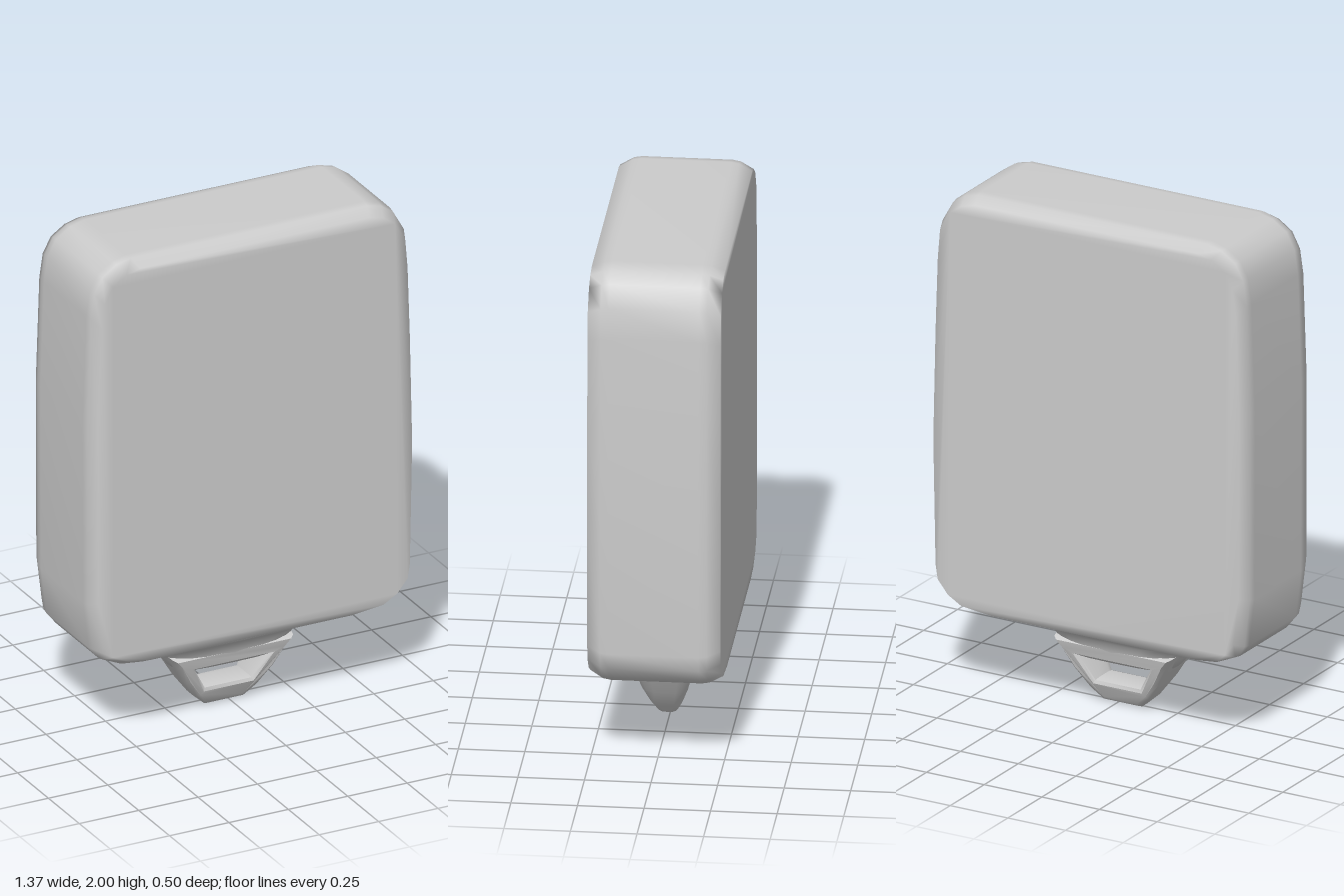
import * as THREE from 'three';
import { toCreasedNormals } from 'three/addons/utils/BufferGeometryUtils.js';

// Body outline, counter-clockwise from the lower left
const OUTLINE = [
  [-0.45, 0.315], [0.42, 0.315], [0.56, 0.33], [0.62, 0.365], [0.665, 0.42], [0.675, 0.48],
  [0.685, 1.0], [0.675, 1.45], [0.665, 1.75], [0.655, 1.87], [0.61, 1.95], [0.56, 1.985],
  [0.5, 2], [-0.5, 2], [-0.56, 1.985], [-0.62, 1.945], [-0.655, 1.88], [-0.67, 1.78],
  [-0.685, 1.35], [-0.683, 0.6], [-0.66, 0.41], [-0.62, 0.36], [-0.54, 0.325],
];

// Indexed geometry from closed rings of equal length; caps are fans listed as index loops
function loft(rings, caps) {
  const n = rings[0].length;
  const index = [];
  for (let r = 0; r < rings.length - 1; r++) {
    for (let k = 0; k < n; k++) {
      const a = r * n + k, next = r * n + (k + 1) % n;
      index.push(a, a + n, next, next, a + n, next + n);
    }
  }
  const last = (rings.length - 1) * n;
  for (const loop of caps) {
    for (let i = 1; i < loop.length - 1; i++) {
      index.push(loop[0], loop[i], loop[i + 1]);
      index.push(last + loop[0], last + loop[i + 1], last + loop[i]);
    }
  }
  const geometry = new THREE.BufferGeometry();
  geometry.setAttribute('position', new THREE.Float32BufferAttribute(rings.flat(2), 3));
  geometry.setIndex(index);
  geometry.computeVertexNormals();
  return geometry;
}

// Flat-faced block with a chamfered rim; each face folds along one diagonal
function bodyGeometry() {
  const rings = [[0.25, 0.965], [0.2, 0.995], [0.17, 1], [-0.17, 1], [-0.2, 0.995], [-0.25, 0.968]]
    .map(([z, s]) => OUTLINE.map(([x, y]) => [x * s, 1.1575 + (y - 1.1575) * s, z]));
  const n = OUTLINE.length;
  const fan = (hub, from, count) => {
    const loop = Array.from({ length: count }, (_, i) => (from + i) % n);
    const at = loop.indexOf(hub);
    return [...loop.slice(at), ...loop.slice(0, at)];
  };
  return loft(rings, [fan(10, 3, 13), fan(21, 15, 12)]);
}

// Flared neck joining the body to the loop
function neckGeometry() {
  const sides = 24;
  const rings = [[0.35, 0.52, 0.22], [0.315, 0.44, 0.19], [0.29, 0.36, 0.15],
    [0.27, 0.295, 0.125], [0.23, 0.258, 0.112], [0.185, 0.225, 0.1]]
    .map(([y, rx, rz]) => Array.from({ length: sides }, (_, k) => {
      const t = -k / sides * Math.PI * 2;
      const c = Math.cos(t), s = Math.sin(t);
      // Rounded-rectangle section
      return [-0.02 + rx * Math.sign(c) * Math.abs(c) ** 0.6, y,
        0.01 + rz * Math.sign(s) * Math.abs(s) ** 0.6];
    }));
  return loft(rings, [Array.from({ length: sides }, (_, k) => k)]);
}

// Loop with a trapezoid opening, thinning towards its lower end
function loopGeometry() {
  const points = (list) => list.map(([x, y]) => new THREE.Vector2(x, y));
  const shape = new THREE.Shape(points([
    [-0.1, 0], [0.06, 0], [0.11, 0.045], [0.165, 0.12], [0.21, 0.2], [0.24, 0.25],
    [-0.28, 0.25], [-0.25, 0.2], [-0.205, 0.12], [-0.15, 0.045],
  ]));
  shape.holes.push(new THREE.Path(points([[-0.17, 0.18], [0.13, 0.18], [0.075, 0.09], [-0.115, 0.09]])));
  const bevel = 0.018;
  const geometry = new THREE.ExtrudeGeometry(shape, {
    depth: 1, bevelThickness: 0.5, bevelSize: bevel, bevelOffset: -bevel, bevelSegments: 2,
  });
  geometry.translate(0, 0, -0.5);
  const p = geometry.attributes.position;
  for (let i = 0; i < p.count; i++) {
    const y = p.getY(i);
    p.setZ(i, 0.01 + p.getZ(i) * (0.035 + 0.45 * y - 0.5 * y * y));
  }
  return toCreasedNormals(geometry, 0.7);
}

export function createModel() {
  const model = new THREE.Group();
  model.name = 'roundedCaseWithLoop';
  const material = new THREE.MeshStandardMaterial({ color: 0xcccccc });
  const add = (name, geometry) => {
    const mesh = new THREE.Mesh(geometry, material);
    mesh.name = name;
    model.add(mesh);
  };
  add('caseBody', bodyGeometry());
  add('neck', neckGeometry());
  add('hangingLoop', loopGeometry());
  return model;
}
